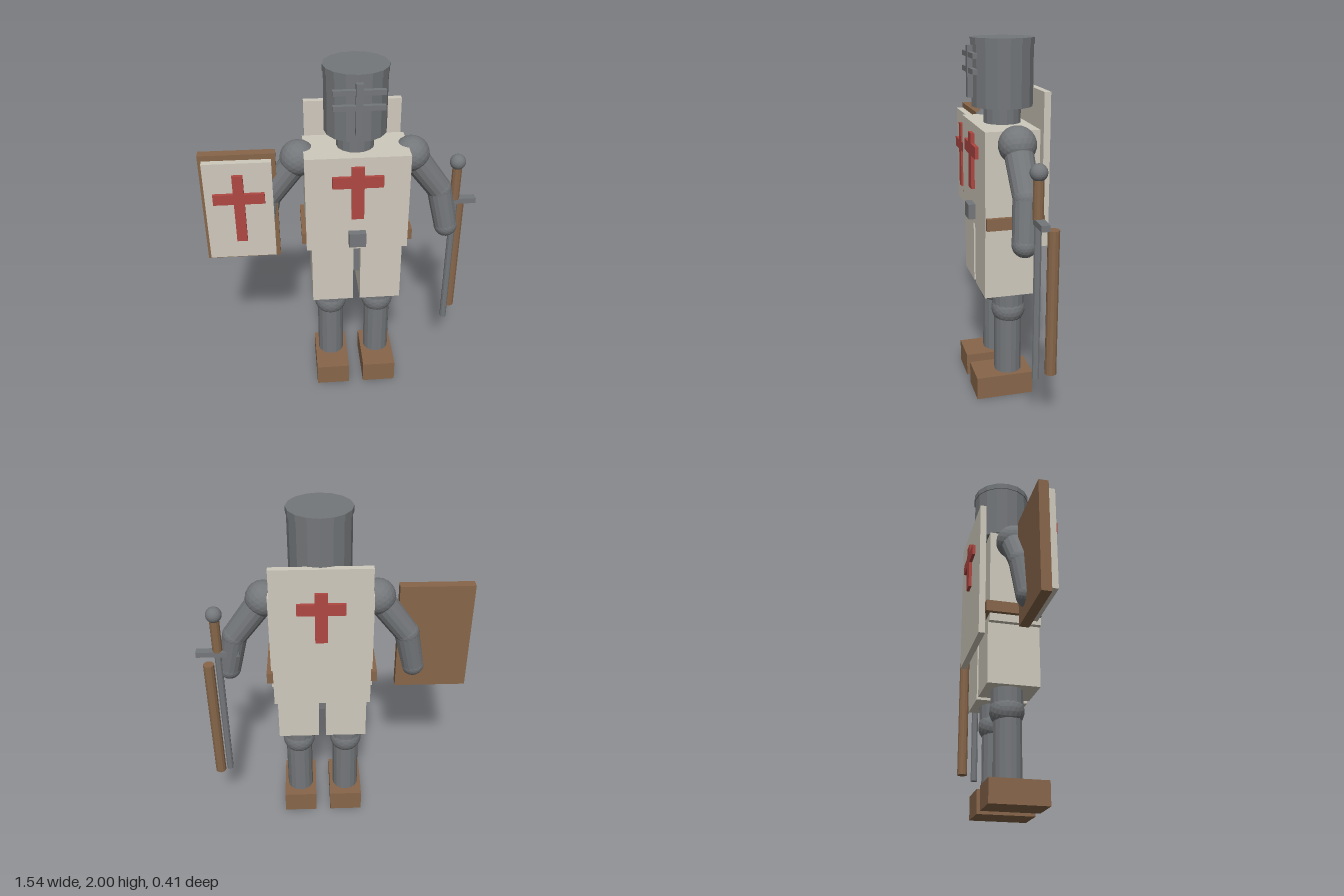
import * as THREE from 'three';

const mat = (color) => new THREE.MeshStandardMaterial({ color, flatShading: true });

export function createModel() {
  const model = new THREE.Group();
  const steel = mat(0x74777a), cloth = mat(0xcfc9bc), leather = mat(0x87664a), red = mat(0xae4742);
  const CX = 0.068; // the body's mid-line

  const add = (parent, name, geometry, material) => {
    const mesh = new THREE.Mesh(geometry, material);
    mesh.name = name;
    parent.add(mesh);
    return mesh;
  };
  // box given by its extents
  const box = (parent, name, material, [x0, x1], [y0, y1], [z0, z1]) => {
    const mesh = add(parent, name, new THREE.BoxGeometry(x1 - x0, y1 - y0, z1 - z0), material);
    mesh.position.set((x0 + x1) / 2, (y0 + y1) / 2, (z0 + z1) / 2);
    return mesh;
  };
  const ball = (parent, name, material, r, x, y, z) => {
    add(parent, name, new THREE.IcosahedronGeometry(r, 3), material).position.set(x, y, z);
  };
  // cylinder between two points
  const rod = (parent, name, material, a, b, ra, rb = ra, sides = 16) => {
    const p = new THREE.Vector3(...a), q = new THREE.Vector3(...b);
    const dir = q.clone().sub(p);
    const mesh = add(parent, name, new THREE.CylinderGeometry(rb, ra, dir.length(), sides), material);
    mesh.position.copy(p).add(q).multiplyScalar(0.5);
    mesh.quaternion.setFromUnitVectors(new THREE.Vector3(0, 1, 0), dir.normalize());
  };
  const group = (name) => {
    const g = new THREE.Group();
    g.name = name;
    model.add(g);
    return g;
  };
  // cross outline, centred on x, extruded from z by depth
  const cross = (parent, name, x, [y0, y1], [b0, b1], halfStem, halfBar, z, depth) => {
    const shape = new THREE.Shape([
      [-halfStem, y0], [halfStem, y0], [halfStem, b0], [halfBar, b0], [halfBar, b1], [halfStem, b1],
      [halfStem, y1], [-halfStem, y1], [-halfStem, b1], [-halfBar, b1], [-halfBar, b0], [-halfStem, b0],
    ].map(([px, py]) => new THREE.Vector2(px, py)));
    const geometry = new THREE.ExtrudeGeometry(shape, { depth, bevelEnabled: false });
    add(parent, name, geometry, red).position.set(x, 0, z);
  };

  // Helmet with its rim and visor bars
  const helmet = group('helmet');
  rod(helmet, 'neck', steel, [CX, 1.53, 0], [CX, 1.65, 0], 0.102);
  rod(helmet, 'helmetBody', steel, [CX, 1.64, 0], [CX, 1.97, 0], 0.168);
  rod(helmet, 'helmetRim', steel, [CX, 1.965, 0], [CX, 2.0, 0], 0.173);
  box(helmet, 'visorUpright', steel, [0.05, 0.087], [1.69, 1.96], [0.16, 0.194]);
  for (const y of [1.9, 1.82])
    box(helmet, 'visorBar', steel, [-0.066, 0.2], [y, y + 0.027], [0.165, 0.19]);

  // Tunic, belt and back panel
  const torso = group('torso');
  box(torso, 'tunic', cloth, [-0.213, 0.349], [0.985, 1.55], [-0.13, 0.163]);
  box(torso, 'belt', leather, [-0.237, 0.373], [1.03, 1.095], [-0.155, 0.16]);
  box(torso, 'buckle', steel, [0.02, 0.114], [1.02, 1.105], [0.15, 0.203]);
  box(torso, 'hips', steel, [0.02, 0.116], [0.8, 0.99], [-0.1, 0.12]);
  box(torso, 'backPanel', cloth, [-0.2, 0.336], [0.91, 1.74], [-0.188, -0.152]);
  cross(torso, 'chestCross', CX, [1.19, 1.5], [1.38, 1.445], 0.034, 0.137, 0.155, 0.028);
  cross(torso, 'backCross', CX, [1.32, 1.61], [1.485, 1.55], 0.034, 0.129, -0.206, 0.03);

  // Legs and arms, mirrored about the mid-line
  for (const s of [1, -1]) {
    const side = s > 0 ? 'left' : 'right';
    const leg = group(side + 'Leg');
    const lx = CX + s * 0.142;
    const skirt = [CX + s * 0.02, CX + s * 0.253].sort((a, b) => a - b);
    box(leg, 'skirt', cloth, skirt, [0.63, 0.99], [-0.134, 0.16]);
    rod(leg, 'thigh', steel, [lx, 0.515, 0], [lx, 0.65, 0], 0.09);
    ball(leg, 'knee', steel, 0.096, lx, 0.515, 0);
    rod(leg, 'shin', steel, [lx, 0.12, 0.003], [lx, 0.515, 0.003], 0.078);
    box(leg, 'boot', leather, [lx - 0.098, lx + 0.098], [0, 0.132], [-0.12, 0.205]);

    const arm = group(side + 'Arm');
    const shoulder = [CX + s * 0.308, 1.483, 0];
    const elbow = [CX + s * 0.478, 1.255, 0];
    const hand = [CX + s * 0.527, 1.025, 0.02];
    ball(arm, 'shoulder', steel, 0.1, ...shoulder);
    rod(arm, 'upperArm', steel, shoulder, elbow, 0.078, 0.07);
    ball(arm, 'elbow', steel, 0.071, ...elbow);
    rod(arm, 'forearm', steel, elbow, hand, 0.07, 0.066);
    ball(arm, 'hand', steel, 0.067, ...hand);
  }

  // Shield
  const shield = group('shield');
  box(shield, 'shieldBoard', leather, [-0.77, -0.36], [0.89, 1.538], [-0.005, 0.05]);
  box(shield, 'shieldFace', cloth, [-0.75, -0.383], [0.92, 1.507], [0.045, 0.09]);
  cross(shield, 'shieldCross', -0.566, [1.035, 1.44], [1.27, 1.33], 0.029, 0.139, 0.085, 0.025);

  // Sword and scabbard
  const sword = group('sword');
  const sx = 0.647, sz = -0.03;
  rod(sword, 'blade', steel, [sx, 0.3, sz], [sx, 1.16, sz], 0.02, 0.02, 10);
  box(sword, 'crossGuard', steel, [0.525, 0.767], [1.143, 1.175], [-0.054, -0.008]);
  rod(sword, 'grip', leather, [sx, 1.17, sz], [sx, 1.4, sz], 0.028, 0.028, 12);
  ball(sword, 'pommel', steel, 0.045, sx, 1.403, sz);
  rod(group('scabbard'), 'sheath', leather, [0.694, 0.345, -0.096], [0.694, 1.125, -0.096], 0.031, 0.031, 12);

  return model;
}
